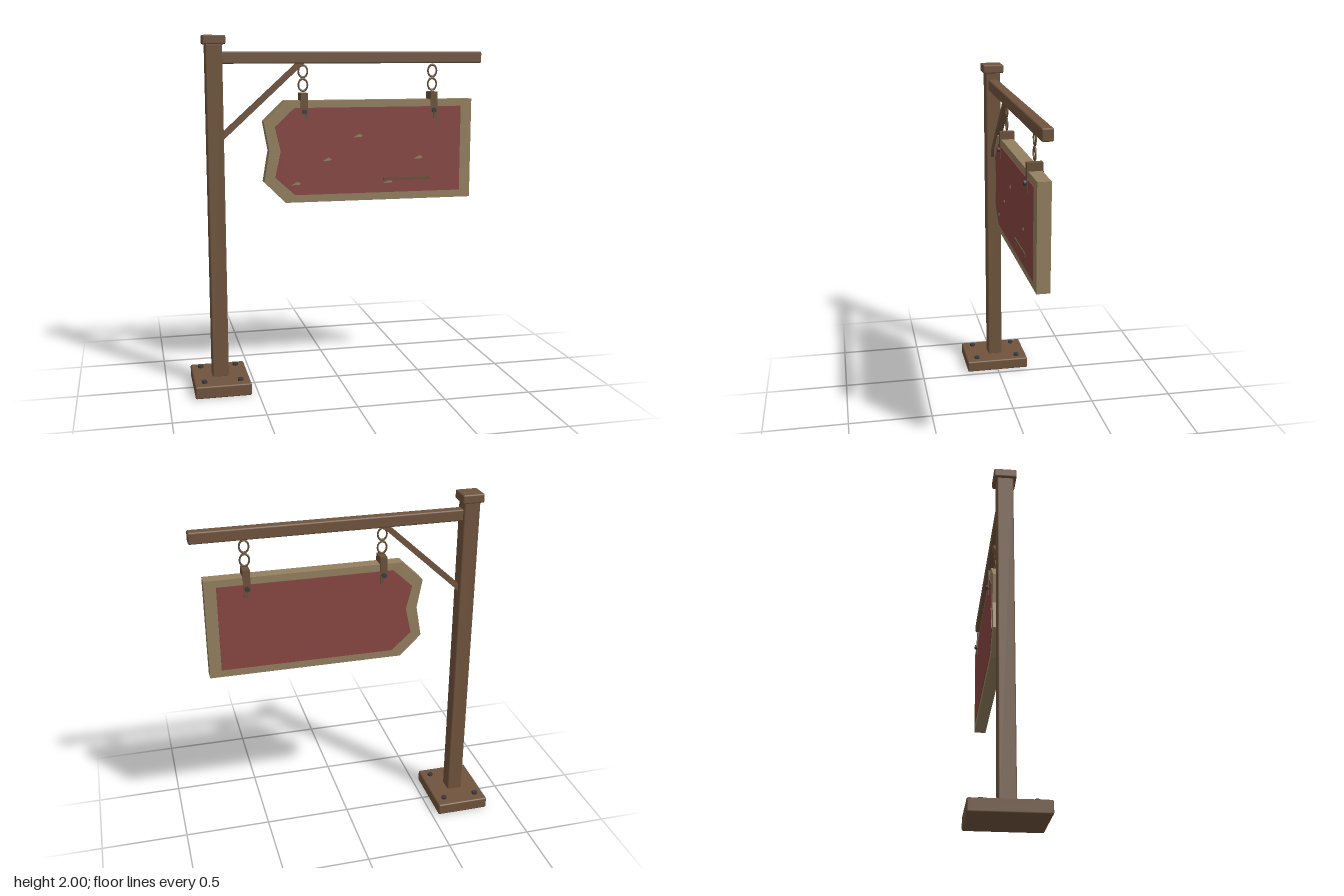
import * as THREE from 'three';
import { RoundedBoxGeometry } from 'three/addons/geometries/RoundedBoxGeometry.js';

const material = (name, color) => {
  const m = new THREE.MeshStandardMaterial({ color });
  m.name = name;
  return m;
};

export function createModel() {
  const wood = material('brown wood', 0x70543d);
  const tan = material('pale wood', 0x94805f);
  const red = material('red paint', 0x894643);
  const strapMetal = material('bronze metal', 0x6a5139);
  const iron = material('dark iron', 0x3c3c40);

  const group = new THREE.Group();
  group.name = 'hangingSign';

  const add = (name, geometry, mat, x = 0, y = 0, z = 0, parent = group) => {
    const mesh = new THREE.Mesh(geometry, mat);
    mesh.name = name;
    mesh.position.set(x, y, z);
    parent.add(mesh);
    return mesh;
  };
  // Timber with a small chamfer, given by its lower and upper corners
  const timber = (name, x0, x1, y0, y1, depth) =>
    add(name, new RoundedBoxGeometry(x1 - x0, y1 - y0, depth, 1, 0.008), wood,
      (x0 + x1) / 2, (y0 + y1) / 2, 0);
  // Flat board cut from an outline, centred on z
  const plate = (name, points, depth, mat, z) => {
    const shape = new THREE.Shape(points.map(([x, y]) => new THREE.Vector2(x, y)));
    const geometry = new THREE.ExtrudeGeometry(shape, { depth, bevelEnabled: false });
    return add(name, geometry.translate(0, 0, -depth / 2), mat, 0, 0, z);
  };

  // Post, foot, cap and arm
  timber('base', -0.855, -0.54, 0, 0.07, 0.4);
  timber('post', -0.745, -0.652, 0.065, 1.955, 0.09);
  timber('postCap', -0.76, -0.635, 1.95, 2, 0.125);
  timber('beam', -0.66, 0.85, 1.845, 1.91, 0.06);

  // Diagonal brace with ends cut flush to the post and beam
  plate('brace', [[-0.655, 1.425], [-0.655, 1.468], [-0.235, 1.85], [-0.19, 1.85]], 0.036, wood, 0);

  // Hexagonal bolts in the foot
  for (const x of [-0.8, -0.596]) {
    for (const z of [-0.132, 0.132]) {
      add('baseBolt', new THREE.CylinderGeometry(0.017, 0.017, 0.02, 6), iron, x, 0.074, z);
    }
  }

  // Notched board and its painted panels
  plate('board', [[-0.31, 1.64], [-0.43, 1.525], [-0.4, 1.36], [-0.43, 1.185],
    [-0.31, 1.065], [0.79, 1.065], [0.79, 1.64]], 0.072, tan, 0);
  const panel = [[-0.255, 1.6], [-0.368, 1.495], [-0.335, 1.36], [-0.368, 1.21],
    [-0.255, 1.108], [0.724, 1.108], [0.724, 1.6]];
  for (const side of [-1, 1]) {
    plate(side > 0 ? 'frontPanel' : 'backPanel', panel, 0.005, red, side * 0.0375);
  }

  // Chips worn through the front paint
  for (const [x, y] of [[0.11, 1.437], [-0.07, 1.306], [0.47, 1.306], [-0.25, 1.173], [0.29, 1.17]]) {
    plate('paintChip', [[x - 0.028, y - 0.008], [x + 0.022, y - 0.006],
      [x + 0.026, y + 0.003], [x + 0.008, y + 0.012]], 0.002, tan, 0.0405);
  }
  // Raised strip on the front
  add('frontStrip', new THREE.BoxGeometry(0.28, 0.018, 0.008), strapMetal, 0.4, 1.185, 0.042);

  // Two hangers: chain links, saddle strap and bolts
  for (const x of [-0.2, 0.56]) {
    const hanger = new THREE.Group();
    hanger.name = 'hanger';
    hanger.position.x = x;
    group.add(hanger);
    for (const y of [1.802, 1.726]) {
      const link = add('chainLink', new THREE.TorusGeometry(0.026, 0.005, 6, 16), strapMetal, 0, y, 0, hanger);
      link.scale.y = 1.3;
    }
    add('strapTop', new THREE.BoxGeometry(0.04, 0.045, 0.084), strapMetal, 0, 1.66, 0, hanger);
    for (const side of [-1, 1]) {
      add('strapSide', new THREE.BoxGeometry(0.04, 0.08, 0.008), strapMetal, 0, 1.6, side * 0.039, hanger);
      add('strapTail', new THREE.BoxGeometry(0.02, 0.04, 0.008), strapMetal, 0.01, 1.545, side * 0.039, hanger);
      const bolt = add('strapBolt', new THREE.CylinderGeometry(0.014, 0.014, 0.018, 8), iron,
        0, 1.578, side * 0.048, hanger);
      bolt.rotation.x = Math.PI / 2;
    }
  }
  return group;
}
